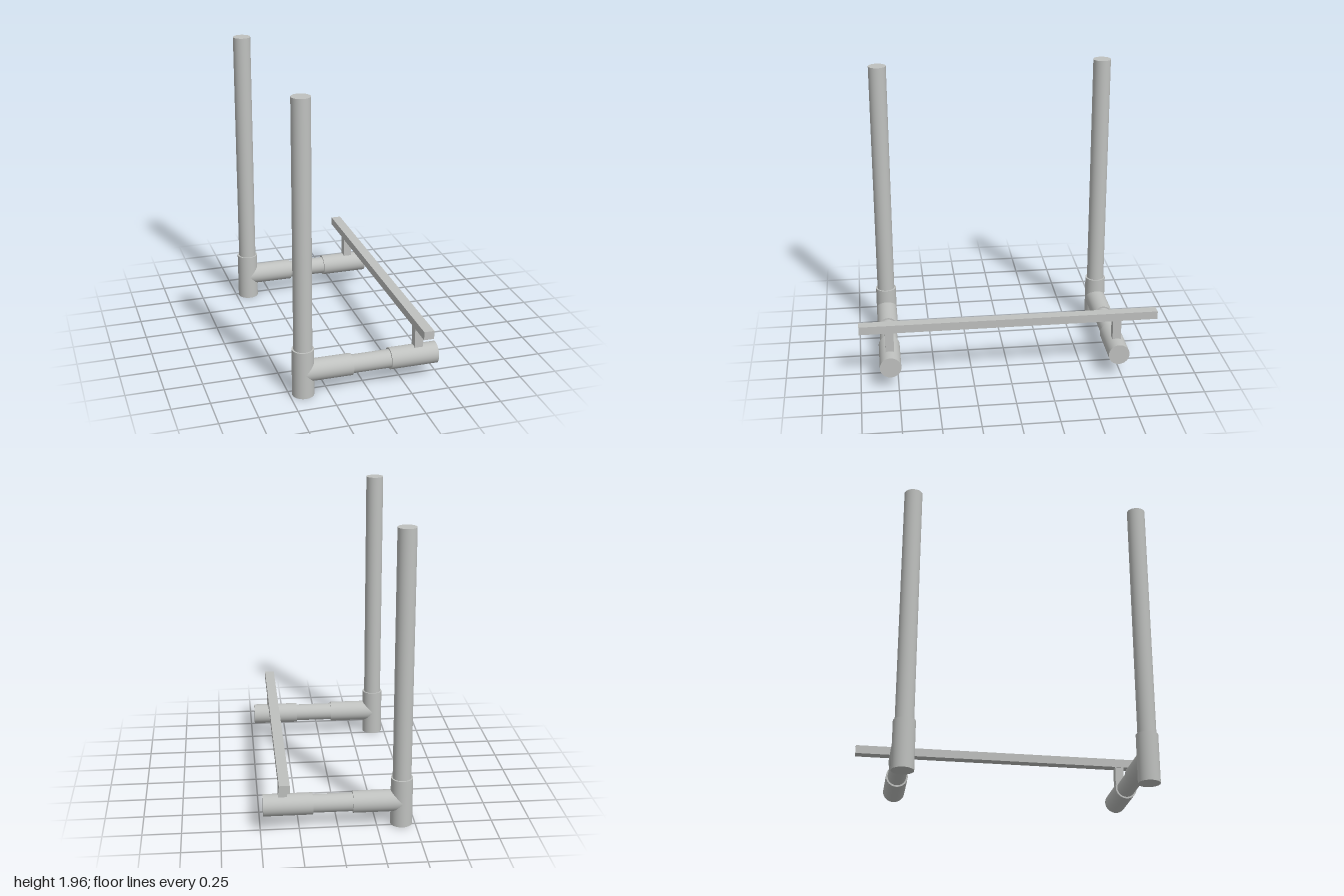
import * as THREE from 'three';

export function createModel() {
  const model = new THREE.Group();
  const grey = new THREE.MeshStandardMaterial({ color: 0xbfc1bf });
  grey.name = 'light grey';

  const add = (parent, name, geometry, x, y, z) => {
    const mesh = new THREE.Mesh(geometry, grey);
    mesh.name = name;
    mesh.position.set(x, y, z);
    parent.add(mesh);
  };
  const upright = (parent, name, r, y0, y1, x) =>
    add(parent, name, new THREE.CylinderGeometry(r, r, y1 - y0, 48), x, (y0 + y1) / 2, 0);
  const level = (parent, name, r, x0, x1, y) =>
    add(parent, name, new THREE.CylinderGeometry(r, r, x1 - x0, 48).rotateZ(-Math.PI / 2), (x0 + x1) / 2, y, 0);

  const postX = -0.412, armY = 0.163, barX = 0.355;

  // Two identical L-shaped pipe stands
  for (const [name, z] of [['frontStand', 0.801], ['backStand', -0.727]]) {
    const stand = new THREE.Group();
    stand.name = name;
    stand.position.z = z;
    upright(stand, 'collar', 0.071, 0, 0.322, postX);
    upright(stand, 'post', 0.06, 0.3, 1.96, postX);
    level(stand, 'teeBranch', 0.071, postX, -0.095, armY);
    level(stand, 'armPipe', 0.06, -0.12, 0.18, armY);
    level(stand, 'endSleeve', 0.071, 0.162, 0.48, armY);
    // Block carrying the crossbar
    add(stand, 'barSupport', new THREE.BoxGeometry(0.057, 0.19, 0.057), barX, 0.275, 0);
    model.add(stand);
  }

  // Long square bar joining both stands
  add(model, 'crossbar', new THREE.BoxGeometry(0.067, 0.056, 2), barX, 0.397, 0);
  return model;
}
